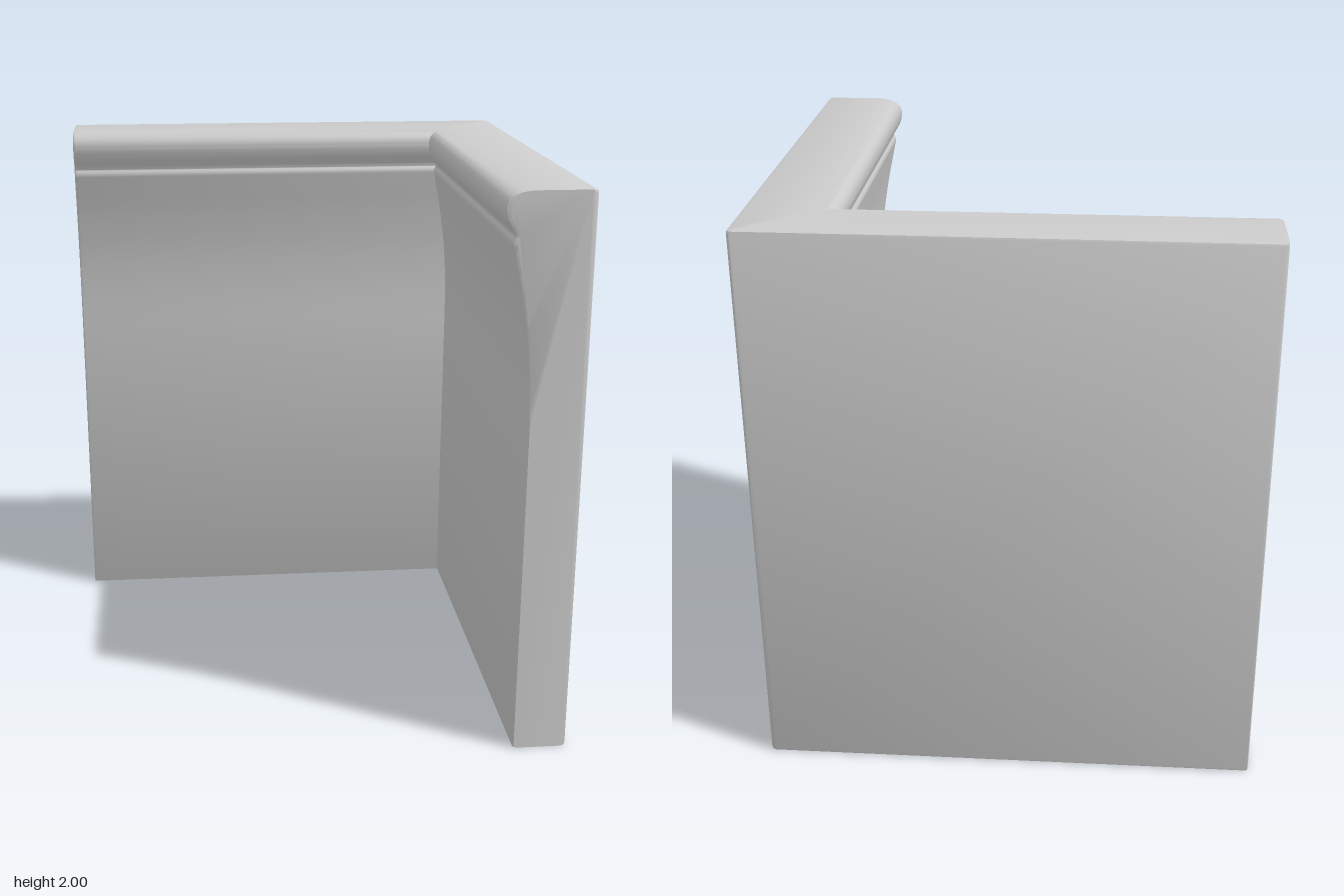
import * as THREE from 'three';
import { toCreasedNormals } from 'three/addons/utils/BufferGeometryUtils.js';

const HALF = 0.87;    // outer faces lie at x = HALF and z = -HALF
const ROUND = 0.02;   // rounding of the outer vertical corner
const BEVEL = 0.012;  // softening of the two free ends

const vecs = (list) => list.map(([d, y]) => new THREE.Vector2(d, y));
const curve = (list, n) => new THREE.SplineCurve(vecs(list)).getPoints(n);

// Moulding section: x = depth from the outer face, y = height
function section() {
  return [
    ...vecs([[0, 0.01], [0.003, 0.003], [0.01, 0], [0.185, 0], [0.192, 0.003], [0.195, 0.01]]),
    // flat face flaring outwards below the rail
    ...curve([[0.195, 1.2], [0.198, 1.35], [0.21, 1.5], [0.234, 1.65], [0.26, 1.77], [0.273, 1.83]], 24),
    // small groove, then the rounded nose
    ...curve([[0.27, 1.842], [0.265, 1.852], [0.273, 1.87], [0.292, 1.9], [0.302, 1.94], [0.293, 1.973], [0.265, 1.993], [0.22, 2]], 28),
    ...vecs([[0.01, 2], [0.003, 1.997], [0, 1.99]]),
  ];
}

// Stations along the L-shaped run, each mapping a section point to space
function stations() {
  const inset = (d) => BEVEL + d * (1 - 2 * BEVEL / 0.25);
  const list = [
    (d, y) => [-HALF, y, -HALF + inset(d)],
    (d, y) => [-HALF + BEVEL * 0.3, y, -HALF + BEVEL * 0.3 + d * (1 - 0.6 * BEVEL / 0.25)],
    (d, y) => [-HALF + BEVEL, y, -HALF + d],
  ];
  const steps = 5;
  for (let i = 0; i <= steps; i++) {
    const a = (i / steps) * Math.PI / 2;
    list.push((d, y) => {
      const r = Math.max(0, ROUND - d), c = HALF - Math.max(ROUND, d);
      return [c + r * Math.sin(a), y, -c - r * Math.cos(a)];
    });
  }
  // the second arm mirrors the first across the mitre
  for (const f of list.slice(0, 3).reverse()) {
    list.push((d, y) => {
      const [x, h, z] = f(d, y);
      return [-z, h, -x];
    });
  }
  return list;
}

function sweep(profile, path) {
  const rings = path.map((f) => profile.map((p) => new THREE.Vector3(...f(p.x, p.y))));
  const pos = [], tri = new THREE.Triangle();
  const add = (a, b, c) => {
    if (tri.set(a, b, c).getArea() < 1e-9) return;
    for (const v of [a, b, c]) pos.push(v.x, v.y, v.z);
  };
  const n = profile.length;
  for (let s = 0; s < rings.length - 1; s++) {
    const A = rings[s], B = rings[s + 1];
    for (let i = 0; i < n; i++) {
      const j = (i + 1) % n;
      add(A[i], B[i], B[j]);
      add(A[i], B[j], A[j]);
    }
  }
  // end caps
  const first = rings[0], last = rings[rings.length - 1];
  for (const [a, b, c] of THREE.ShapeUtils.triangulateShape(profile, [])) {
    add(first[a], first[b], first[c]);
    add(last[a], last[c], last[b]);
  }
  const geo = new THREE.BufferGeometry();
  geo.setAttribute('position', new THREE.Float32BufferAttribute(pos, 3));
  return toCreasedNormals(geo, 0.65);
}

export function createModel() {
  const group = new THREE.Group();
  group.name = 'cornerMoulding';
  const mesh = new THREE.Mesh(
    sweep(section(), stations()),
    new THREE.MeshStandardMaterial({ color: 0xcccccc }),
  );
  mesh.name = 'mitredPanels';
  group.add(mesh);
  return group;
}
